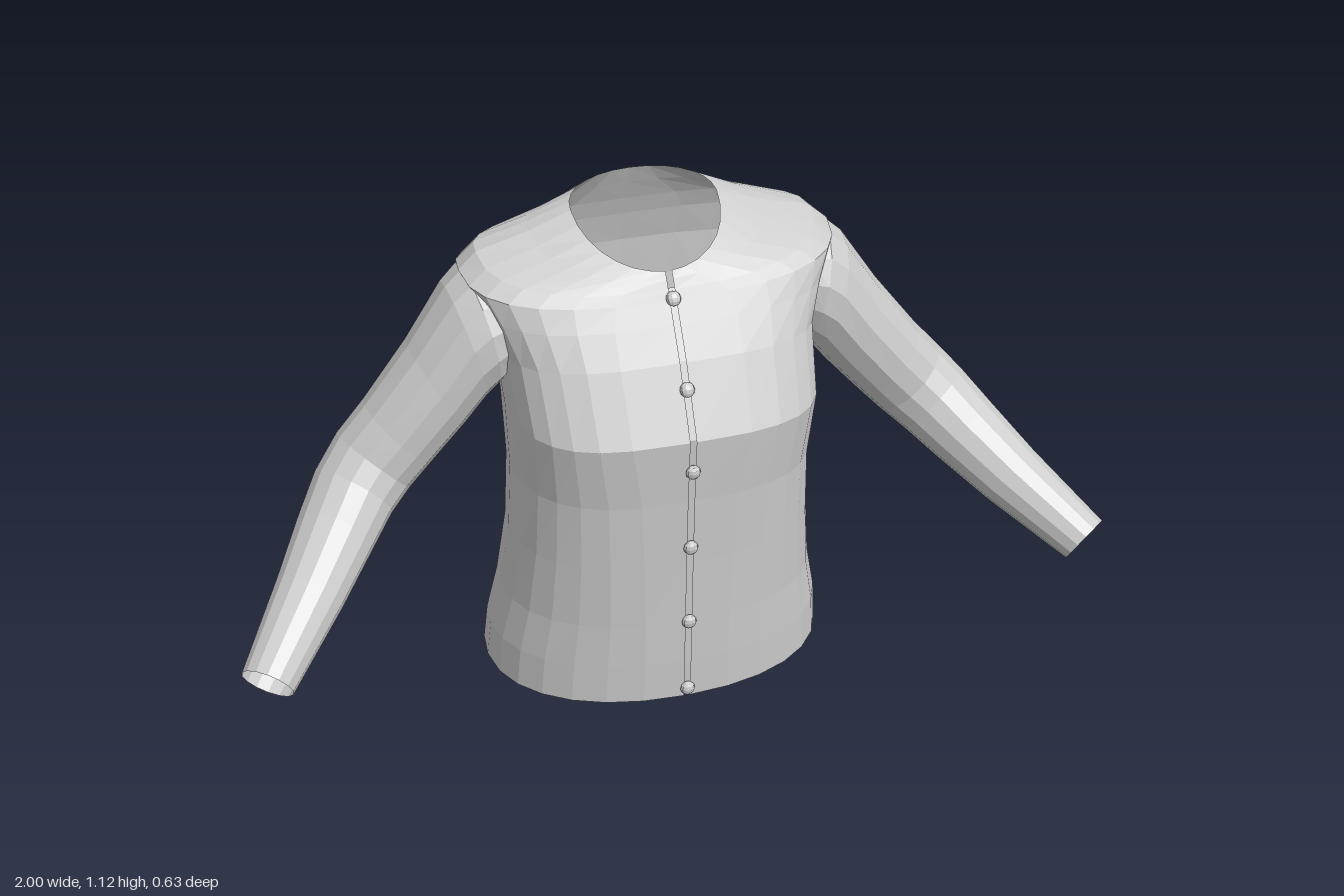
import * as THREE from 'three';

const material = new THREE.MeshStandardMaterial({
  color: 0xcccccc, flatShading: true, side: THREE.DoubleSide,
});

// Skin a list of rings (arrays of Vector3, all the same length) into one surface.
function loft(name, rings) {
  const n = rings[0].length, pos = [], index = [];
  rings.forEach((ring) => ring.forEach((p) => pos.push(p.x, p.y, p.z)));
  for (let r = 0; r < rings.length - 1; r++) {
    for (let i = 0; i < n - 1; i++) {
      const a = r * n + i, b = a + 1, c = a + n, d = c + 1;
      index.push(a, b, d, a, d, c);
    }
  }
  const geometry = new THREE.BufferGeometry();
  geometry.setAttribute('position', new THREE.Float32BufferAttribute(pos, 3));
  geometry.setIndex(index);
  geometry.computeVertexNormals();
  const mesh = new THREE.Mesh(geometry, material);
  mesh.name = name;
  return mesh;
}

// Body sections: y front, y side, y back, half width, z front, z side, z back,
// squareness of front, squareness of back
const BODY = [
  [0, 0.006, 0.015, 0.39, 0.245, -0.04, -0.32, 2.2, 2.15],
  [0.10, 0.10, 0.10, 0.383, 0.25, -0.03, -0.303, 2.2, 2.15],
  [0.21, 0.21, 0.21, 0.36, 0.254, -0.02, -0.28, 2.3, 2.15],
  [0.37, 0.37, 0.37, 0.342, 0.26, 0, -0.25, 2.5, 2.15],
  [0.53, 0.53, 0.53, 0.335, 0.268, 0, -0.241, 2.7, 2.2],
  [0.685, 0.69, 0.69, 0.342, 0.28, 0, -0.253, 3.2, 2.3],
  [0.84, 0.82, 0.81, 0.352, 0.205, -0.05, -0.265, 3.2, 2.5],
  [0.91, 0.92, 0.91, 0.385, 0.162, -0.06, -0.258, 2.9, 2.7],
  [0.955, 0.995, 0.985, 0.42, 0.134, -0.065, -0.238, 2.5, 2.7],
  [0.975, 1.03, 1.03, 0.38, 0.122, -0.07, -0.222, 2.4, 2.6],
  [0.995, 1.06, 1.08, 0.26, 0.11, -0.075, -0.20, 2.2, 2.3],
  [1.01, 1.095, 1.125, 0.165, 0.10, -0.075, -0.18, 2, 2.15],
];
const GAP = 0.007;

function bodyRing([yF, yS, yB, w, zF, zS, zB, squareF, squareB]) {
  const n = 28, ring = [];
  for (let i = 0; i <= n; i++) {
    const t = (i / n) * Math.PI * 2, s = Math.sin(t), c = Math.cos(t);
    const front = c > 0, power = 2 / (front ? squareF : squareB);
    const k = Math.abs(c) ** power;
    let x = w * Math.sign(s) * Math.abs(s) ** power;
    if (i === 0) x = GAP;
    if (i === n) x = -GAP;
    ring.push(new THREE.Vector3(
      x,
      THREE.MathUtils.lerp(yS, front ? yF : yB, k),
      THREE.MathUtils.lerp(zS, front ? zF : zB, k),
    ));
  }
  return ring;
}

// Sleeve sections: outer x, y, inner x, y, z of centre, half depth
const SLEEVE = [
  [0.36, 1.0, 0.335, 0.74, -0.065, 0.125],
  [0.412, 0.998, 0.355, 0.722, -0.063, 0.136],
  [0.452, 0.962, 0.378, 0.70, -0.06, 0.13],
  [0.54, 0.83, 0.425, 0.64, -0.06, 0.118],
  [0.64, 0.70, 0.50, 0.555, -0.06, 0.106],
  [0.70, 0.632, 0.558, 0.492, -0.057, 0.102],
  [0.75, 0.575, 0.615, 0.44, -0.027, 0.098],
  [0.80, 0.512, 0.675, 0.385, 0.03, 0.091],
  [0.875, 0.42, 0.765, 0.31, 0.125, 0.078],
  [0.99, 0.294, 0.906, 0.209, 0.27, 0.06],
];

function sleeve(name, side) {
  const sides = 14;
  const centres = SLEEVE.map(([ox, oy, ix, iy, z]) =>
    new THREE.Vector3((ox + ix) / 2, (oy + iy) / 2, z));
  const rings = SLEEVE.map(([ox, oy, ix, iy, , depth], k) => {
    const along = centres[Math.min(k + 1, centres.length - 1)].clone()
      .sub(centres[Math.max(k - 1, 0)]);
    const a = new THREE.Vector3((ox - ix) / 2, (oy - iy) / 2, 0);
    const b = along.cross(a).setLength(depth);
    const ring = [];
    for (let i = 0; i <= sides; i++) {
      const t = (i / sides) * Math.PI * 2;
      const p = centres[k].clone().addScaledVector(a, Math.cos(t)).addScaledVector(b, Math.sin(t));
      p.x *= side;
      ring.push(p);
    }
    return side < 0 ? ring.reverse() : ring;
  });
  return loft(name, rings);
}

// Point and slope of the centre front at a given height
function frontAt(y) {
  let i = 0;
  while (i < BODY.length - 2 && BODY[i + 1][0] < y) i++;
  const [a, b] = [BODY[i], BODY[i + 1]];
  const slope = (b[4] - a[4]) / (b[0] - a[0]);
  return { z: a[4] + slope * (y - a[0]), slope };
}

export function createModel() {
  const group = new THREE.Group();
  group.name = 'cardigan';

  group.add(loft('body', BODY.map(bodyRing)));
  group.add(sleeve('leftSleeve', 1), sleeve('rightSleeve', -1));

  // Narrow facing behind the front opening, stopping just below the neckline
  group.add(loft('placket', BODY.slice(0, -2).map(([y, , , , z]) =>
    [-0.018, 0.018].map((x) => new THREE.Vector3(x, y, z - 0.009)))));

  // Buttons, domed and square to the front surface
  const dome = new THREE.SphereGeometry(0.017, 10, 6);
  dome.scale(1, 1, 0.7);
  [0.024, 0.21, 0.41, 0.61, 0.79, 0.96].forEach((y, i) => {
    const { z, slope } = frontAt(y);
    const button = new THREE.Mesh(dome, material);
    button.name = `button${i + 1}`;
    button.position.set(0, y, z + 0.004);
    button.rotation.x = Math.atan(slope);
    group.add(button);
  });

  return group;
}
